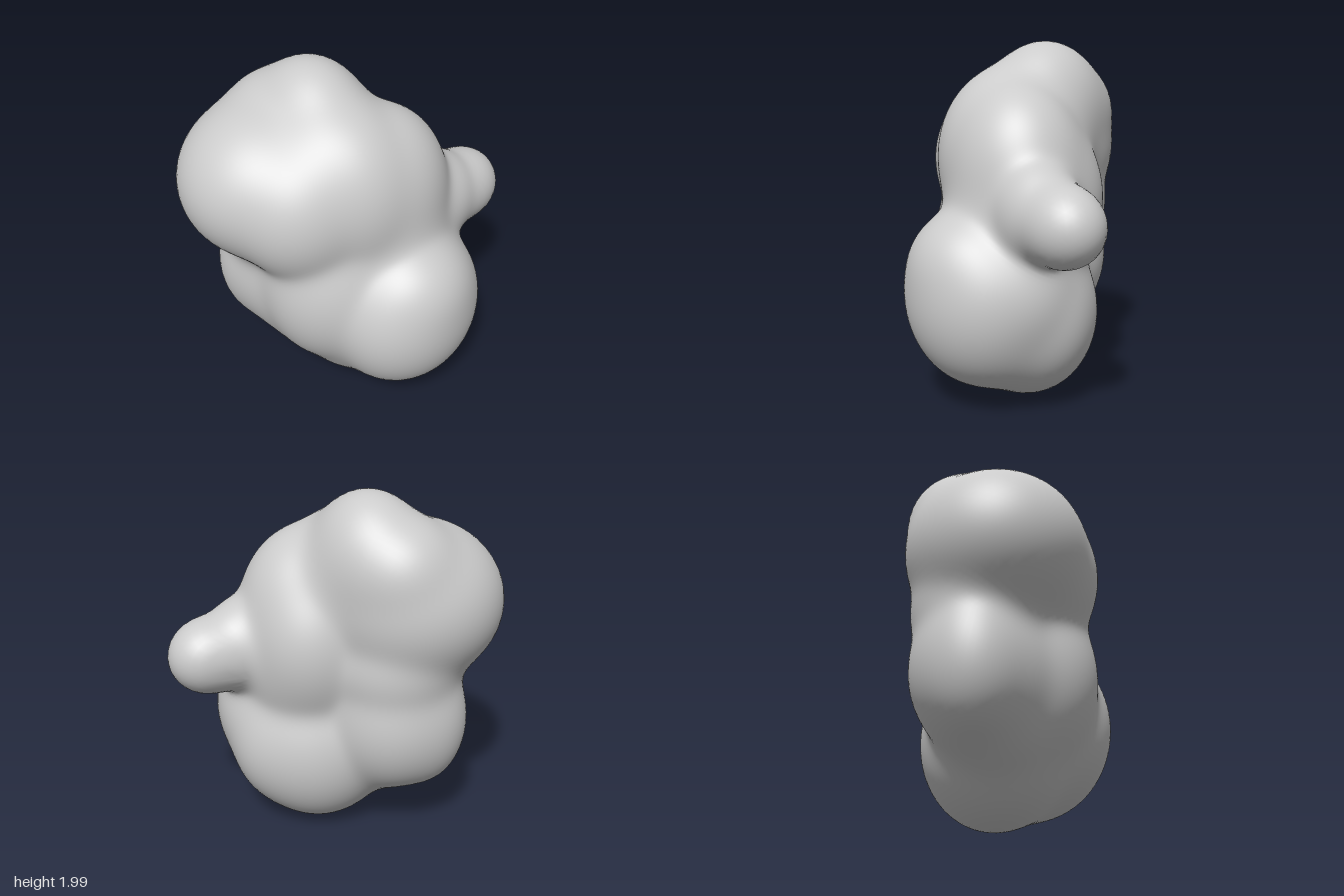
import * as THREE from 'three';
import { mergeVertices } from 'three/addons/utils/BufferGeometryUtils.js';

// Rounded lobes of the rock: centre x, y, z and radii x, y, z
const LOBES = [
  [-0.27, 1.37, 0.37, 0.48, 0.45, 0.50], // large upper front lobe
  [-0.37, 1.59, 0.21, 0.30, 0.29, 0.30], // its top
  [0.00, 1.30, 0.33, 0.35, 0.42, 0.40], // its inner shoulder
  [-0.20, 1.62, 0.12, 0.34, 0.37, 0.30], // crown
  [-0.05, 1.44, 0.15, 0.41, 0.43, 0.40], // saddle behind the crown
  [0.08, 1.34, 0.12, 0.37, 0.47, 0.34], // upper side wall
  [0.11, 1.27, -0.08, 0.37, 0.49, 0.39], // upper back lobe
  [-0.05, 1.15, -0.10, 0.31, 0.40, 0.34], // back waist
  [0.20, 1.08, -0.65, 0.205, 0.215, 0.23], // back knob
  [0.20, 1.11, -0.42, 0.23, 0.27, 0.24], // neck of the knob
  [0.10, 1.00, -0.07, 0.41, 0.45, 0.41], // core
  [-0.28, 1.05, 0.25, 0.37, 0.34, 0.37], // side waist
  [0.38, 0.62, -0.06, 0.37, 0.48, 0.45], // lower side lobe
  [0.45, 0.80, -0.06, 0.27, 0.27, 0.30], // its upper shoulder
  [0.25, 0.46, -0.08, 0.37, 0.36, 0.40], // its underside
  [0.05, 0.78, 0.20, 0.40, 0.53, 0.41], // lower front lobe
  [-0.26, 0.72, 0.24, 0.39, 0.45, 0.37], // lower opposite lobe
  [-0.41, 0.70, 0.36, 0.24, 0.37, 0.25], // its outer corner
  [-0.12, 0.50, 0.18, 0.29, 0.30, 0.31], // its underside
  [0.24, 0.66, -0.25, 0.30, 0.34, 0.31], // lower back lobe under the knob
  [0.10, 0.49, -0.15, 0.32, 0.41, 0.39], // lower back lobe
  [0.04, 0.49, -0.03, 0.40, 0.49, 0.44], // base
];
const CENTRE = new THREE.Vector3(0.06, 1.02, 0);
const BLEND = 0.033;

// Smoothly blended distance to all lobes (negative inside)
function distance(p) {
  let sum = 0;
  for (const [cx, cy, cz, rx, ry, rz] of LOBES) {
    const x = p.x - cx, y = p.y - cy, z = p.z - cz;
    const k0 = Math.hypot(x / rx, y / ry, z / rz);
    const k1 = Math.hypot(x / rx ** 2, y / ry ** 2, z / rz ** 2);
    const d = k1 > 1e-6 ? (k0 * (k0 - 1)) / k1 : -Math.min(rx, ry, rz);
    sum += Math.exp(-d / BLEND);
  }
  return -BLEND * Math.log(sum + 1e-300);
}

// Outermost surface point along a direction from the centre
function project(dir) {
  const p = new THREE.Vector3();
  const at = (r) => distance(p.copy(CENTRE).addScaledVector(dir, r));
  let inner = 1.5;
  while (inner > 0.1 && at(inner) > 0) inner -= 0.03;
  let outer = inner + 0.03;
  for (let i = 0; i < 12; i++) {
    const mid = (inner + outer) / 2;
    if (at(mid) > 0) outer = mid; else inner = mid;
  }
  at(inner);
  return p;
}

export function createModel() {
  let geo = new THREE.IcosahedronGeometry(1, 28);
  geo.deleteAttribute('uv');
  geo.deleteAttribute('normal');
  geo = mergeVertices(geo, 1e-4);

  // Push a sphere out to the blended lobes
  const pos = geo.attributes.position;
  const dir = new THREE.Vector3();
  for (let i = 0; i < pos.count; i++) {
    const p = project(dir.fromBufferAttribute(pos, i).normalize());
    pos.setXYZ(i, p.x, p.y, p.z);
  }
  geo.computeVertexNormals();

  const rock = new THREE.Mesh(geo, new THREE.MeshStandardMaterial({ color: 0xcccccc }));
  rock.name = 'lumpyRock';
  const group = new THREE.Group();
  group.name = 'rock';
  group.add(rock);
  return group;
}
